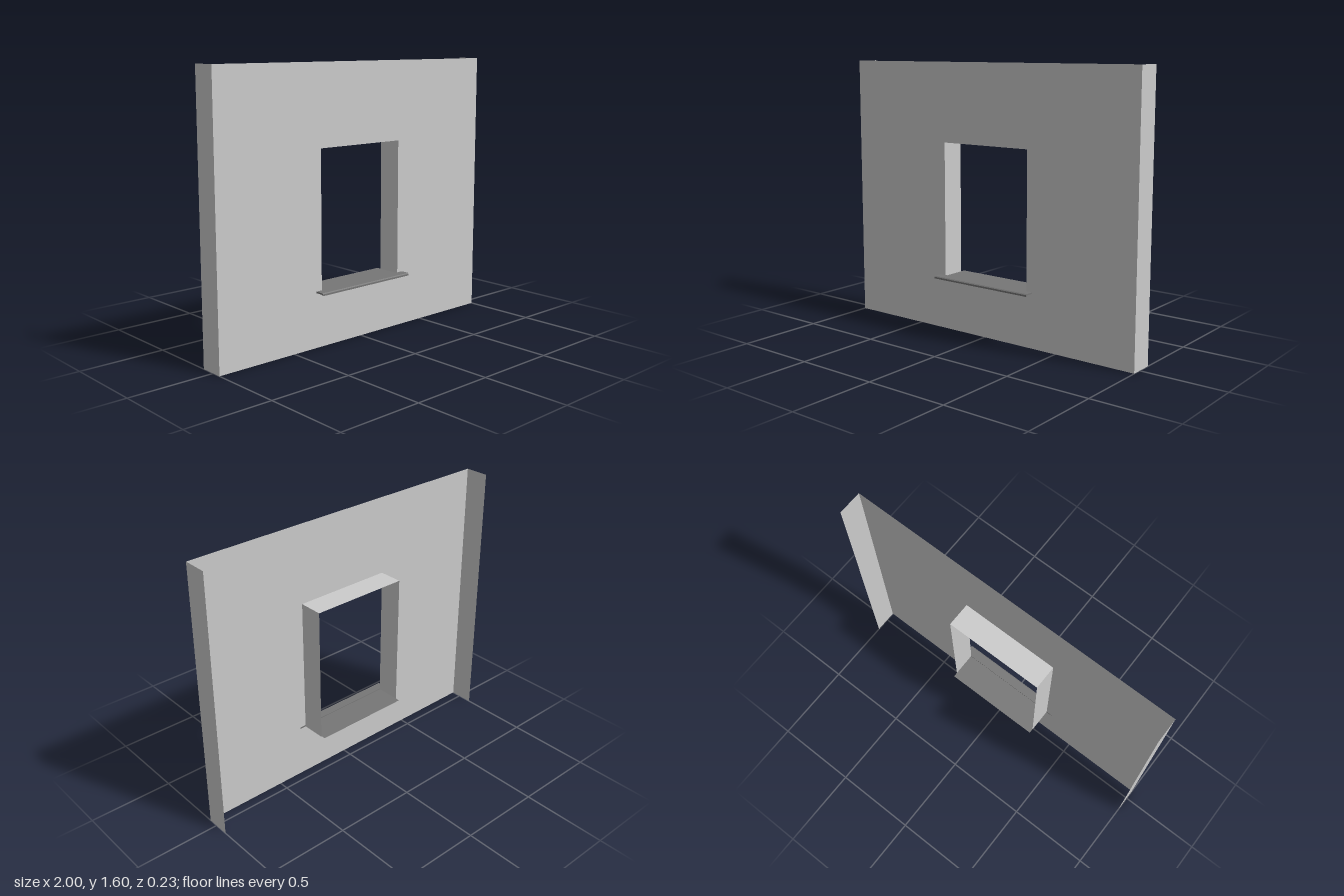
import * as THREE from 'three';

const grey = new THREE.MeshStandardMaterial({ color: 0xcccccc, side: THREE.DoubleSide, flatShading: true });
const dark = new THREE.MeshStandardMaterial({ color: 0x777777, side: THREE.DoubleSide, flatShading: true });

const FRONT = 0.058, BACK = -0.087, DEPTH = FRONT - BACK, MID = (FRONT + BACK) / 2;
const HEIGHT = 1.6;
const open = { half: 0.3, bottom: 0.32, top: 1.13 };

export function createModel() {
  const group = new THREE.Group();
  const add = (name, geometry, material, x = 0, y = 0, z = 0) => {
    const mesh = new THREE.Mesh(geometry, material);
    mesh.name = name;
    mesh.position.set(x, y, z);
    group.add(mesh);
    return mesh;
  };

  // Thin front sheet with a window opening
  const sheet = new THREE.Shape([[-1, 0], [1, 0], [1, HEIGHT], [-1, HEIGHT]].map(p => new THREE.Vector2(...p)));
  const { half, bottom, top } = open;
  sheet.holes.push(new THREE.Path(
    [[-half, bottom], [-half, top], [half, top], [half, bottom]].map(p => new THREE.Vector2(...p))));
  add('wallSheet', new THREE.ShapeGeometry(sheet), grey, 0, 0, FRONT);

  // Upright sheets: outer wall returns and window jambs
  for (const [side, s] of [['left', 1], ['right', -1]]) {
    const upright = (h) => new THREE.PlaneGeometry(DEPTH, h).rotateY(s * Math.PI / 2);
    add(side + 'WallReturn', upright(HEIGHT), grey, s, HEIGHT / 2, MID);
    add(side + 'Jamb', upright(top - bottom).rotateY(Math.PI), grey, s * half, (top + bottom) / 2, MID);
  }

  // Head and base of the window reveal
  add('revealHead', new THREE.PlaneGeometry(half * 2, DEPTH).rotateX(Math.PI / 2), grey, 0, top, MID);
  add('revealBase', new THREE.PlaneGeometry(half * 2, DEPTH).rotateX(-Math.PI / 2), grey, 0, bottom, MID);

  // Thin sill sheet running through the opening and past its back
  add('sillSheet', new THREE.PlaneGeometry(half * 2, 0.173).rotateX(-Math.PI / 2), dark, 0, 0.325, -0.0285);

  // Projecting outer sill with a drip lip, drawn in profile (z, y) and extruded along x
  const profile = new THREE.Shape([
    [0.056, 0.329], [0.109, 0.329], [0.115, 0.324], [0.115, 0.314],
    [0.108, 0.314], [0.108, 0.32], [0.056, 0.32],
  ].map(p => new THREE.Vector2(...p)));
  const nosing = new THREE.ExtrudeGeometry(profile, { depth: 0.68, bevelEnabled: false });
  nosing.translate(0, 0, -0.34).rotateY(-Math.PI / 2);
  add('outerSill', nosing, dark);

  return group;
}
